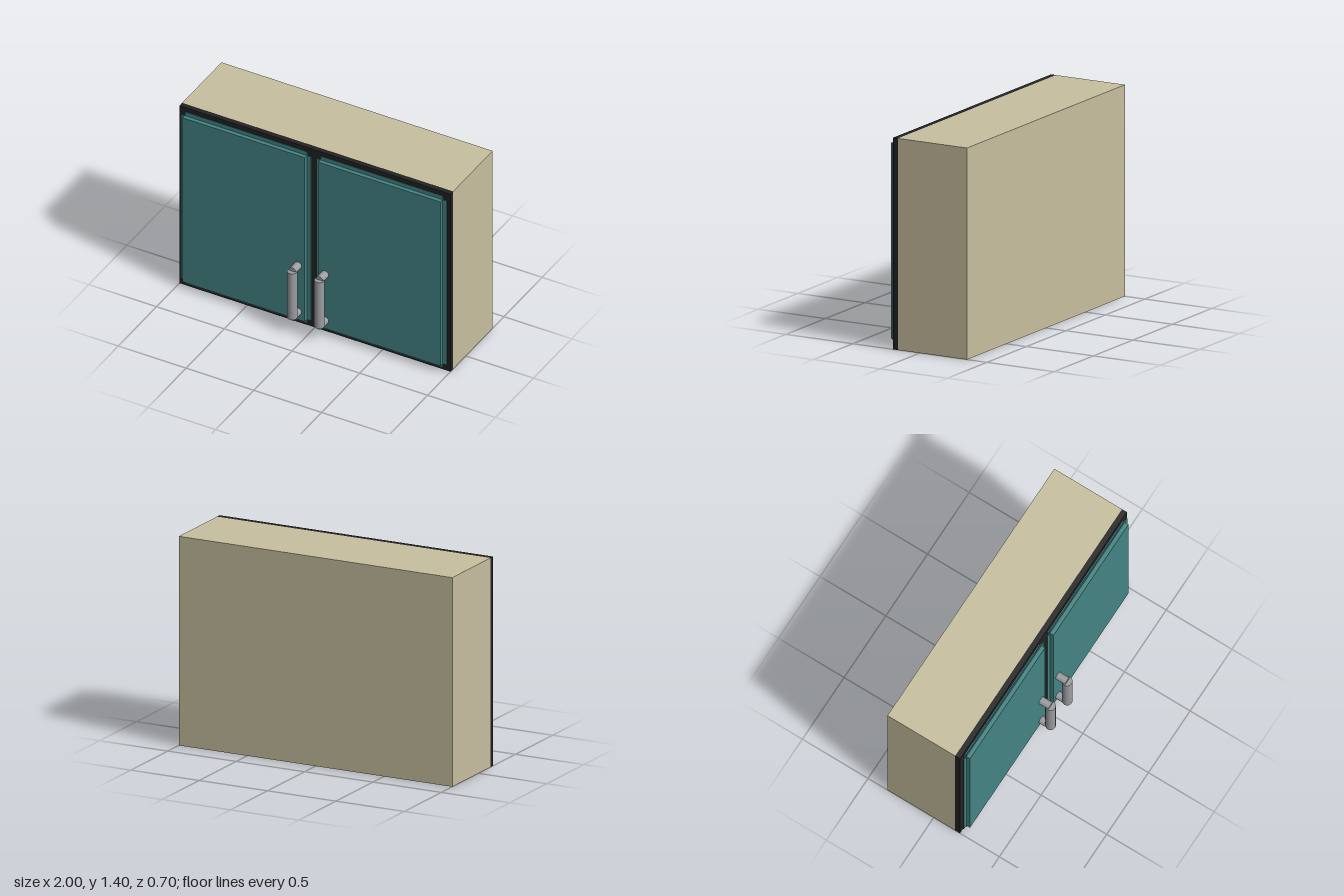
import * as THREE from 'three';

const cream = new THREE.MeshStandardMaterial({ name: 'cream', color: 0xc8bf9f });
const black = new THREE.MeshStandardMaterial({ name: 'black', color: 0x222222 });
const teal = new THREE.MeshStandardMaterial({ name: 'teal', color: 0x448484 });
const steel = new THREE.MeshStandardMaterial({ name: 'steel', color: 0x9b9da1 });

// Box given by its extents on each axis
function box(name, material, [x0, x1], [y0, y1], [z0, z1]) {
  const mesh = new THREE.Mesh(new THREE.BoxGeometry(x1 - x0, y1 - y0, z1 - z0), material);
  mesh.position.set((x0 + x1) / 2, (y0 + y1) / 2, (z0 + z1) / 2);
  mesh.name = name;
  return mesh;
}

function createHandle() {
  const handle = new THREE.Group();
  handle.name = 'handle';
  const grip = new THREE.Mesh(new THREE.CylinderGeometry(0.034, 0.034, 0.364, 32), steel);
  grip.name = 'handleGrip';
  grip.position.set(0, 0.302, 0.318);
  handle.add(grip);
  // Round posts joining the grip to the door
  for (const y of [0.12, 0.482]) {
    const post = new THREE.Mesh(new THREE.CylinderGeometry(0.027, 0.027, 0.08, 32), steel);
    post.name = 'handlePost';
    post.rotation.x = Math.PI / 2;
    post.position.set(0, y, 0.28);
    handle.add(post);
  }
  return handle;
}

// Door centred on its own x = 0
function createDoor() {
  const door = new THREE.Group();
  door.add(box('doorPanel', teal, [-0.45, 0.45], [0.055, 1.35], [0.2, 0.245]));
  // Thin edge lips, leaving notched corners
  const lip = [0.211, 0.217];
  for (const s of [-1, 1]) {
    const xs = [0.45 * s, 0.48 * s].sort((a, b) => a - b);
    door.add(box('sideLip', teal, xs, [0.055, 1.35], lip));
  }
  door.add(box('bottomLip', teal, [-0.45, 0.45], [0.026, 0.055], lip));
  door.add(box('topLip', teal, [-0.45, 0.45], [1.35, 1.379], lip));
  return door;
}

export function createModel() {
  const cabinet = new THREE.Group();
  cabinet.name = 'wallCabinet';
  cabinet.add(box('carcass', cream, [-1, 1], [0, 1.4], [-0.352, 0.164]));
  cabinet.add(box('frontFrame', black, [-1, 1], [0, 1.4], [0.164, 0.2]));

  // Mirrored doors with handles near the middle
  for (const side of [-1, 1]) {
    const door = createDoor();
    door.name = side > 0 ? 'leftDoor' : 'rightDoor';
    door.position.x = 0.5 * side;
    const handle = createHandle();
    handle.position.x = -0.4 * side;
    door.add(handle);
    cabinet.add(door);
  }
  return cabinet;
}
